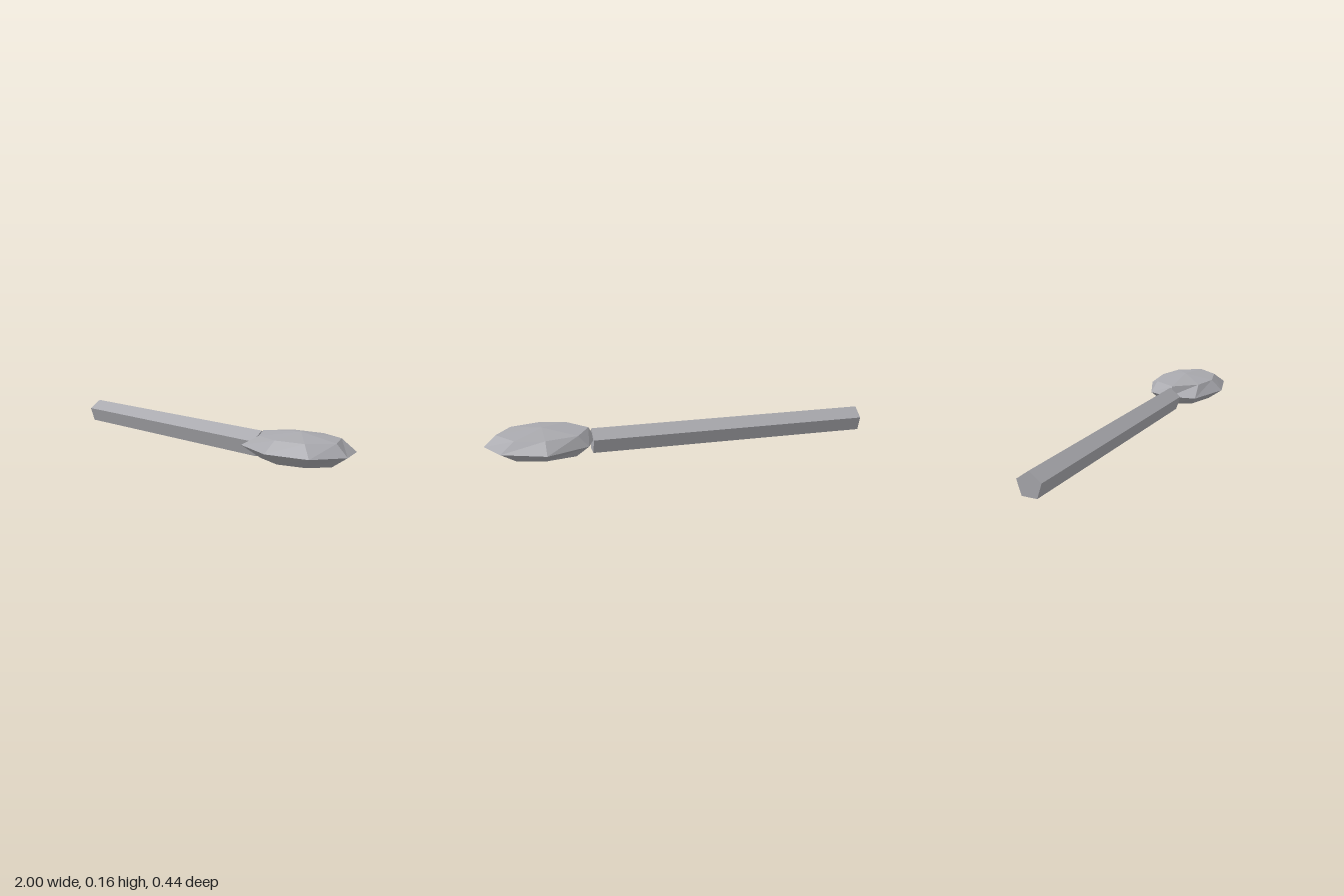
import * as THREE from 'three';

// Faceted solid from stacked horizontal rings closed by a point at each end
function facetedSolid(bottom, rings, top) {
  const pos = [];
  const n = rings[0].pts.length;
  const at = (r, i) => {
    const [x, z] = rings[r].pts[i % n];
    return [x, rings[r].y, z];
  };
  const tri = (a, b, c) => pos.push(...a, ...b, ...c);
  const last = rings.length - 1;
  for (let i = 0; i < n; i++) {
    tri(bottom, at(0, i + 1), at(0, i));
    for (let r = 0; r < last; r++) {
      tri(at(r, i), at(r, i + 1), at(r + 1, i + 1));
      tri(at(r, i), at(r + 1, i + 1), at(r + 1, i));
    }
    tri(at(last, i), at(last, i + 1), top);
  }
  const geo = new THREE.BufferGeometry();
  geo.setAttribute('position', new THREE.Float32BufferAttribute(pos, 3));
  geo.computeVertexNormals();
  return geo;
}

export function createModel() {
  const group = new THREE.Group();
  const metal = new THREE.MeshStandardMaterial({ color: 0xa9a9ae, flatShading: true });
  metal.name = 'grey metal';

  // Five-sided handle lying along x, one ridge on top
  const handleGeo = new THREE.CylinderGeometry(0.066, 0.066, 1.465, 5);
  handleGeo.rotateX(-Math.PI / 2).rotateY(Math.PI / 2);
  const handle = new THREE.Mesh(handleGeo, metal);
  handle.name = 'handle';
  handle.position.set(-0.2675, 0.064, 0.004);
  group.add(handle);

  // Flattened, slightly uneven eight-sided head; ring points are [x, z]
  const rings = [
    { y: 0.025, pts: [[0.91, 0], [0.85, -0.1], [0.715, -0.135], [0.56, -0.1],
      [0.515, 0], [0.56, 0.1], [0.715, 0.145], [0.85, 0.1]] },
    { y: 0.08, pts: [[1, 0], [0.93, -0.14], [0.715, -0.222], [0.5, -0.13],
      [0.45, 0], [0.48, 0.15], [0.715, 0.222], [0.925, 0.16]] },
    { y: 0.135, pts: [[0.94, 0.005], [0.86, -0.115], [0.715, -0.153], [0.55, -0.115],
      [0.48, 0.01], [0.58, 0.13], [0.715, 0.16], [0.86, 0.12]] },
  ];
  const head = new THREE.Mesh(
    facetedSolid([0.715, 0.002, 0.015], rings, [0.715, 0.158, -0.005]), metal);
  head.name = 'head';
  group.add(head);

  return group;
}
